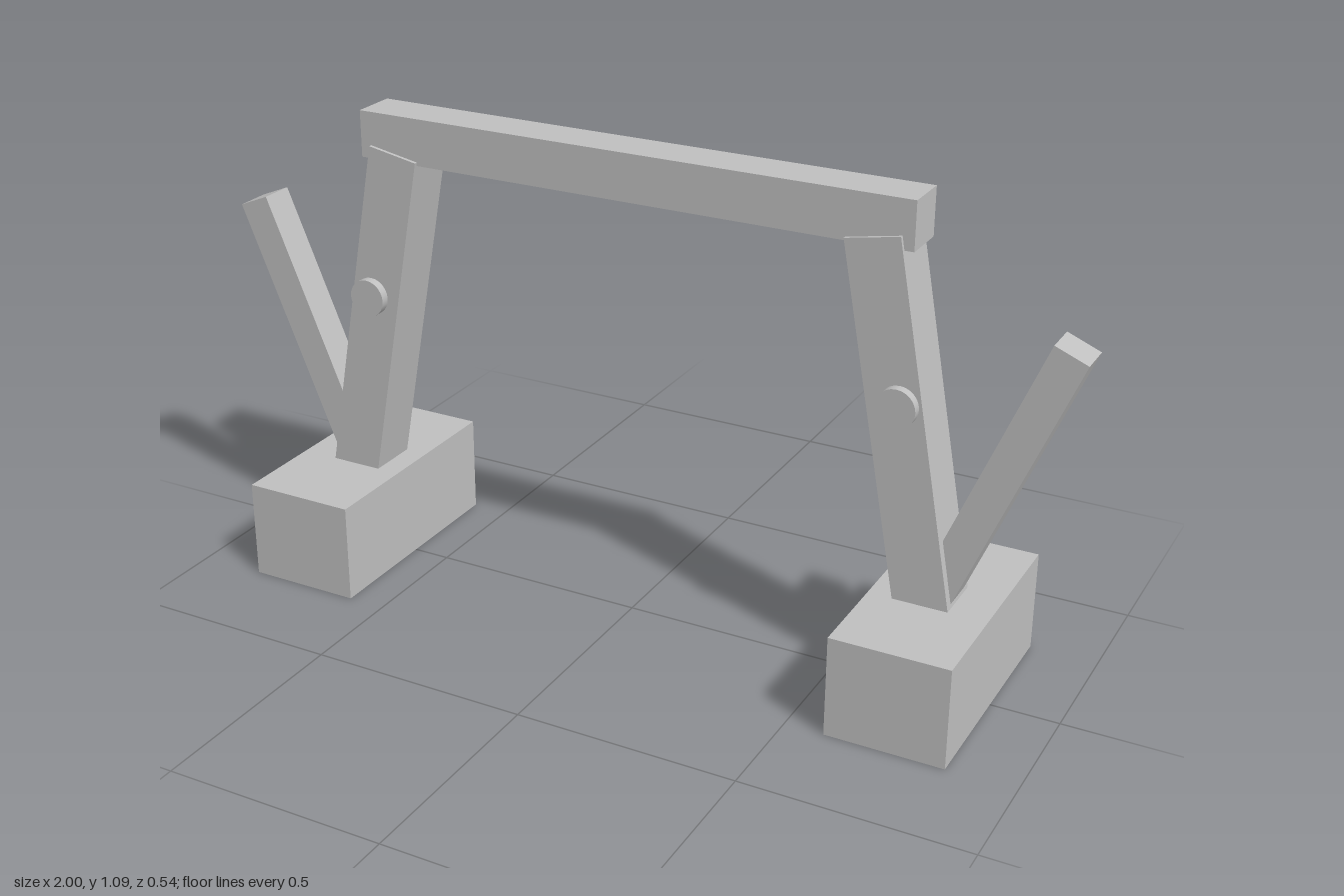
import * as THREE from 'three';

export function createModel() {
  const model = new THREE.Group();
  model.name = 'gantryFrame';
  const grey = new THREE.MeshStandardMaterial({ color: 0xc0c0c0 });
  grey.name = 'plainGrey';

  function add(parent, name, geometry, x, y, z, tilt = 0) {
    const mesh = new THREE.Mesh(geometry, grey);
    mesh.name = name;
    mesh.position.set(x, y, z);
    mesh.rotation.z = tilt;
    parent.add(mesh);
  }
  const deg = THREE.MathUtils.degToRad;

  // Crossbeam resting between the two leg tops
  add(model, 'crossbeam', new THREE.BoxGeometry(1.286, 0.105, 0.104), 0, 1.0375, 0);

  // Shared shapes for the two supports
  const foot = new THREE.BoxGeometry(0.262, 0.228, 0.535);
  const leg = new THREE.BoxGeometry(0.12, 0.809, 0.12);
  const strut = new THREE.BoxGeometry(0.077, 0.655, 0.08);
  const disc = new THREE.CylinderGeometry(0.043, 0.043, 0.03, 24).rotateX(Math.PI / 2);

  for (const side of [1, -1]) {
    const support = new THREE.Group();
    support.name = side > 0 ? 'leftSupport' : 'rightSupport';
    model.add(support);

    add(support, 'footBlock', foot, side * 0.718, 0.114, 0);
    // Leg leans inwards, strut leans outwards
    add(support, 'leg', leg, side * 0.632, 0.606, 0, side * deg(10.5));
    add(support, 'outerStrut', strut, side * 0.839, 0.526, 0, side * deg(-22.4));
    // Round cap on the front of the leg
    add(support, 'frontDisc', disc, side * 0.632, 0.663, 0.065);
  }
  return model;
}
